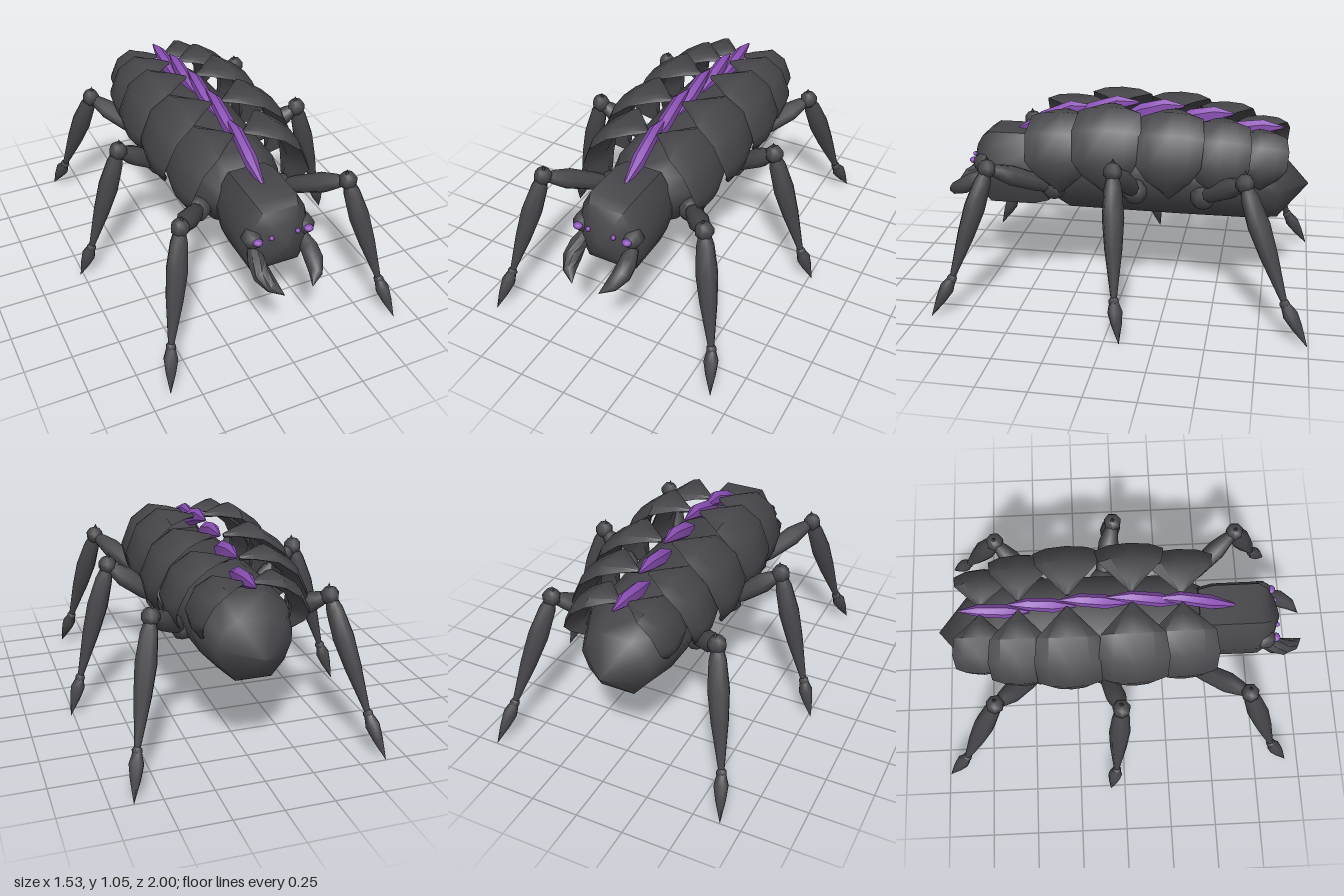
import * as THREE from 'three';
import { toCreasedNormals } from 'three/addons/utils/BufferGeometryUtils.js';

const shell = new THREE.MeshStandardMaterial({ color: 0x46464a });
shell.name = 'charcoal shell';
const glow = new THREE.MeshStandardMaterial({ color: 0x8a4fb4 });
glow.name = 'purple';

const V = (x, y, z) => new THREE.Vector3(x, y, z);

// Closed skin over a list of rings; faces are turned outward by signed volume
function loft(rings, crease = 0.7) {
  const n = rings[0].length;
  const tris = [];
  for (let i = 0; i < rings.length - 1; i++) {
    for (let j = 0; j < n; j++) {
      const k = (j + 1) % n;
      const a = rings[i][j], b = rings[i][k], c = rings[i + 1][k], d = rings[i + 1][j];
      tris.push([a, b, c], [a, c, d]);
    }
  }
  const cap = (ring, flip) => {
    const mid = V(0, 0, 0);
    ring.forEach((p) => mid.addScaledVector(p, 1 / n));
    for (let j = 0; j < n; j++) {
      const a = ring[j], b = ring[(j + 1) % n];
      tris.push(flip ? [mid, b, a] : [mid, a, b]);
    }
  };
  cap(rings[0], true);
  cap(rings[rings.length - 1], false);
  let volume = 0;
  tris.forEach(([a, b, c]) => { volume += a.dot(b.clone().cross(c)); });
  const pos = [];
  tris.forEach(([a, b, c]) => {
    (volume < 0 ? [a, c, b] : [a, b, c]).forEach((p) => pos.push(p.x, p.y, p.z));
  });
  const geo = new THREE.BufferGeometry();
  geo.setAttribute('position', new THREE.Float32BufferAttribute(pos, 3));
  return toCreasedNormals(geo, crease);
}

// Round limb of varying radius along a path
function limb(points, radii, sides = 8) {
  return loft(points.map((p, i) => {
    const t = points[Math.min(i + 1, points.length - 1)].clone()
      .sub(points[Math.max(i - 1, 0)]).normalize();
    const u = V(0, 0, 1).cross(t).normalize();
    const w = t.clone().cross(u);
    return Array.from({ length: sides }, (_, j) => {
      const a = (j / sides) * Math.PI * 2;
      return p.clone().addScaledVector(u, Math.cos(a) * radii[i])
        .addScaledVector(w, Math.sin(a) * radii[i]);
    });
  }), 0.9);
}

// Straight limb given as [fraction, radius] stops from a to b
const segment = (a, b, stops) =>
  limb(stops.map(([f]) => a.clone().lerp(b, f)), stops.map((s) => s[1]));

// Half outline mirrored into a closed one
const mirrored = (half) => [...half, ...half.slice().reverse().map(([x, y]) => [-x, y])];

export function createModel() {
  const model = new THREE.Group();
  const add = (name, geo, mat = shell, at = null, parent = model) => {
    const mesh = new THREE.Mesh(geo, mat);
    mesh.name = name;
    if (at) mesh.position.copy(at);
    parent.add(mesh);
    return mesh;
  };

  // Abdomen: rounded sections [z, half width, centre y, half height]
  const trunkOutline = mirrored([[0.45, 1], [0.85, 0.6], [1, 0.1], [0.82, -0.5], [0.48, -1]]);
  const trunk = [
    [0.5, 0.12, 0.65, 0.11], [0.44, 0.18, 0.66, 0.14], [0.3, 0.25, 0.65, 0.195],
    [-0.3, 0.27, 0.65, 0.195], [-0.65, 0.26, 0.645, 0.19], [-0.81, 0.19, 0.61, 0.155],
    [-0.965, 0.002, 0.62, 0.002],
  ];
  add('abdomen', loft(trunk.map(([z, w, y, h]) =>
    trunkOutline.map(([u, v]) => V(u * w, y + v * h, z))), 0.9));

  // Head: one faceted outline scaled along z to a blunt point
  const headOutline = mirrored([[0.11, 0.85], [0.155, 0.77], [0.185, 0.66], [0.17, 0.55], [0.13, 0.46]]);
  const headRings = [[0.42, 0.9], [0.5, 1], [0.74, 1], [0.785, 0.85], [0.825, 0.55], [0.862, 0.06]];
  add('head', loft(headRings.map(([z, s]) =>
    headOutline.map(([x, y]) => V(x * s, 0.65 + (y - 0.65) * s, z))), 0.8));

  // Spine: overlapping tall, narrow vertebrae, [front z, front y, back z, back y]
  const spine = [
    [0.62, 0.83, 0.18, 0.985], [0.34, 0.91, -0.06, 1.02], [0.05, 0.93, -0.3, 1.01],
    [-0.22, 0.92, -0.56, 0.98], [-0.46, 0.87, -0.82, 0.92],
  ];
  spine.forEach(([z0, y0, z1, y1]) => {
    const stops = [[0, 0.006, 0.01], [0.33, 0.034, 0.05], [0.7, 0.03, 0.042], [1, 0.004, 0.006]];
    add('vertebra', loft(stops.map(([f, w, h]) => {
      const y = y0 + (y1 - y0) * Math.min(1, f * 1.3), z = z0 + (z1 - z0) * f;
      return Array.from({ length: 6 }, (_, j) => {
        const a = (j / 6 + 1 / 12) * Math.PI * 2;
        return V(Math.cos(a) * w, y + Math.sin(a) * h, z);
      });
    })), glow);
  });

  // Armour plates: [centre z, half width, x scale, top y, bottom y]
  const plates = [
    [0.32, 0.18, 0.92, 0.985, 0.59], [0.065, 0.18, 1.02, 1.03, 0.61], [-0.26, 0.175, 1.03, 1.015, 0.61],
    [-0.51, 0.16, 0.94, 0.975, 0.62], [-0.71, 0.145, 0.74, 0.915, 0.65],
  ];
  // Arch from the spine to the lower flank: [x, height fraction, width fraction]
  const arch = [
    [0.03, 0.95, 0.06], [0.1, 0.97, 0.42], [0.19, 0.97, 0.9], [0.29, 0.78, 1],
    [0.35, 0.45, 0.95], [0.34, 0.25, 0.65], [0.29, 0, 0.05],
  ];
  const section = [[-1, 0], [-0.6, 0.75], [0, 1], [0.6, 0.75], [1, 0], [0, -1.1]];
  const makePlate = (s, [zc, w, sx, top, bottom]) => {
    const path = arch.map(([x, f]) => new THREE.Vector2(x * sx, bottom + (top - bottom) * f));
    return loft(arch.map(([, , f], i) => {
      const p = path[i];
      const t = path[Math.min(i + 1, 6)].clone().sub(path[Math.max(i - 1, 0)]).normalize();
      const thick = 0.01 + 0.025 * f;
      return section.map(([dz, dn]) =>
        V(s * (p.x - t.y * thick * dn), p.y + t.x * thick * dn, zc + dz * w * f));
    }), 0.85);
  };

  // Legs: hip, knee, ankle and claw tip
  const legs = [
    ['front', V(0.235, 0.605, 0.36), V(0.455, 0.765, 0.65), V(0.59, 0.2, 0.825), V(0.64, 0, 0.93)],
    ['middle', V(0.27, 0.62, -0.08), V(0.52, 0.81, -0.01), V(0.7, 0.2, -0.045), V(0.765, 0, -0.08)],
    ['rear', V(0.24, 0.6, -0.43), V(0.455, 0.765, -0.65), V(0.59, 0.2, -0.875), V(0.64, 0, -0.995)],
  ];
  const ball = (r) => new THREE.SphereGeometry(r, 7, 5);

  for (const s of [1, -1]) {
    const side = s > 0 ? 'left' : 'right';
    const m = (p) => V(p.x * s, p.y, p.z);

    plates.forEach((p) => add(side + ' armour plate', makePlate(s, p)));

    for (const [name, ...joints] of legs) {
      const [hip, knee, ankle, tip] = joints.map(m);
      const leg = new THREE.Group();
      leg.name = `${side} ${name} leg`;
      model.add(leg);
      add('hip', ball(0.068), shell, hip, leg);
      add('upper leg', segment(hip, knee, [[0, 0.03], [0.25, 0.047], [0.65, 0.054], [0.85, 0.038], [1, 0.02]]), shell, null, leg);
      add('knee', ball(0.049), shell, knee, leg);
      add('knee spike', new THREE.ConeGeometry(0.024, 0.05, 5), shell,
        knee.clone().add(V(-0.008 * s, 0.042, 0)), leg);
      add('lower leg', segment(knee, ankle, [[0, 0.025], [0.12, 0.045], [0.35, 0.056], [0.6, 0.045], [1, 0.014]]), shell, null, leg);
      add('ankle', ball(0.027), shell, ankle, leg);
      add('claw', segment(ankle, tip, [[0, 0.022], [0.25, 0.038], [0.55, 0.027], [1, 0.001]]), shell, null, leg);
    }

    // Curved jaw
    add(side + ' mandible', limb(
      [V(0.13, 0.62, 0.76), V(0.142, 0.58, 0.83), V(0.14, 0.545, 0.89), V(0.117, 0.515, 0.95), V(0.075, 0.485, 1)].map(m),
      [0.03, 0.046, 0.046, 0.034, 0.001]));

    // Eyes and their bulging sockets
    const socket = add(side + ' eye socket', new THREE.SphereGeometry(0.057, 6, 5), shell, V(0.138 * s, 0.685, 0.77));
    socket.rotation.x = Math.PI / 2;
    add(side + ' large eye', new THREE.SphereGeometry(0.023, 10, 8), glow, V(0.136 * s, 0.695, 0.826)).scale.set(1.1, 0.75, 1);
    add(side + ' small eye', new THREE.SphereGeometry(0.013, 8, 6), glow, V(0.07 * s, 0.708, 0.838));
  }
  return model;
}
